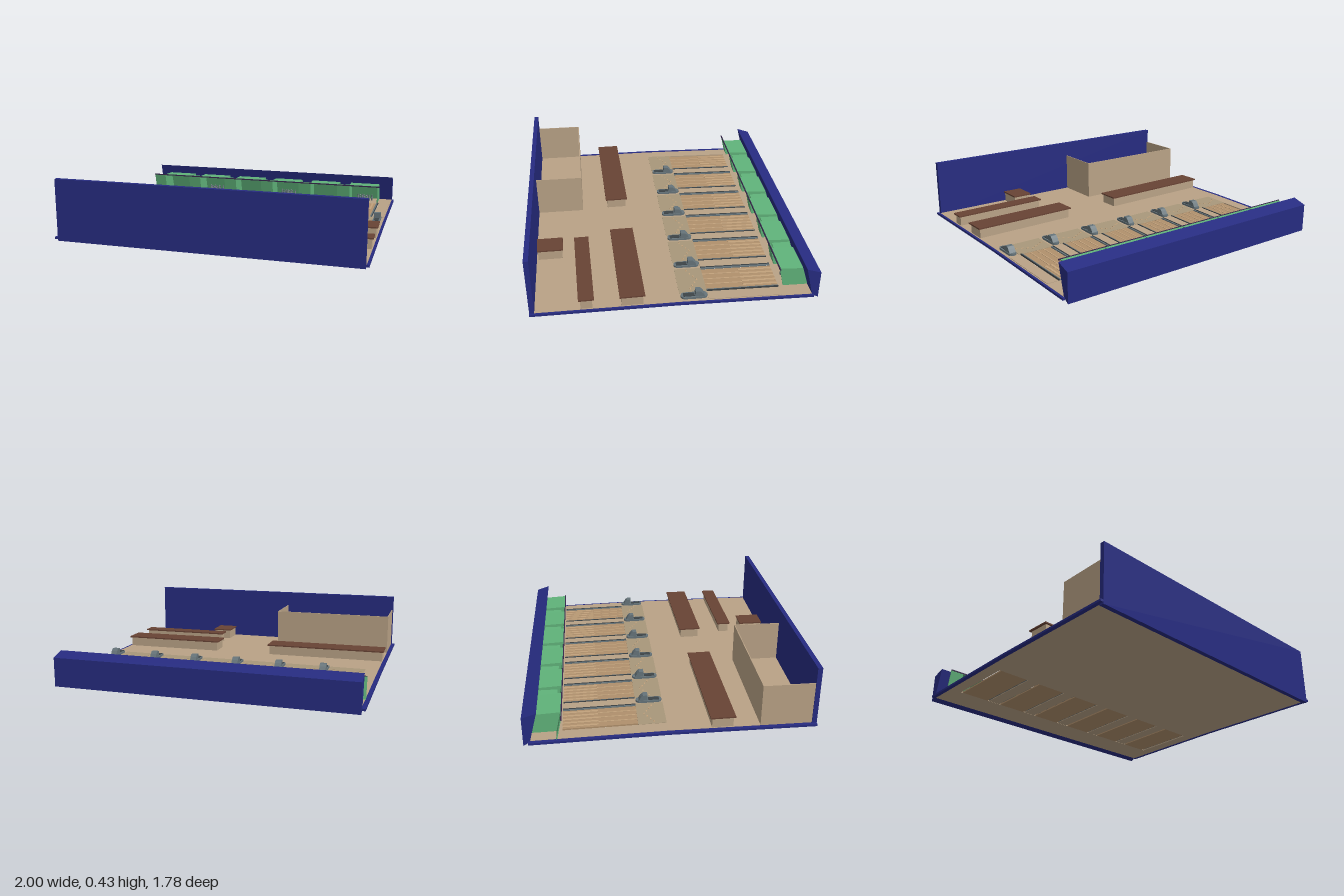
import * as THREE from 'three';

const mat = (color) => new THREE.MeshStandardMaterial({ color, side: THREE.DoubleSide, flatShading: true });
const beige = mat(0xb9a286), blue = mat(0x262b80), brown = mat(0x684334), green = mat(0x60b37a);
const grey = mat(0x66747a), dark = mat(0x3d4448), laneWood = mat(0xb0906c), plank = mat(0xc2a27c);
const approachWood = mat(0xa8977a), plum = mat(0x35264a);

// Floor height: level at the front, falling gently towards the pins
const floorY = (z) => 0.046 + Math.min(0, z + 0.02) * 0.02;

export function createModel() {
  const root = new THREE.Group();

  function add(name, geometry, material, parent = root) {
    const mesh = new THREE.Mesh(geometry, material);
    mesh.name = name;
    parent.add(mesh);
    return mesh;
  }
  function box(name, x0, x1, y0, y1, z0, z1, material, parent) {
    const m = add(name, new THREE.BoxGeometry(x1 - x0, y1 - y0, z1 - z0), material, parent);
    m.position.set((x0 + x1) / 2, (y0 + y1) / 2, (z0 + z1) / 2);
    return m;
  }
  // Thin slab that follows the floor slope
  function slab(name, x0, x1, z0, z1, material, lift = 0, thick = 0.01, parent = root) {
    const g = new THREE.BoxGeometry(x1 - x0, thick, z1 - z0);
    g.translate((x0 + x1) / 2, lift - thick / 2, (z0 + z1) / 2);
    const p = g.attributes.position;
    for (let i = 0; i < p.count; i++) p.setY(i, p.getY(i) + floorY(p.getZ(i)));
    g.computeVertexNormals();
    return add(name, g, material, parent);
  }
  // Side profile of [z, y] points, extruded from x0 to x1
  function prism(name, points, x0, x1, material, parent) {
    const shape = new THREE.Shape(points.map(([z, y]) => new THREE.Vector2(-z, y)));
    const g = new THREE.ExtrudeGeometry(shape, { depth: x1 - x0, bevelEnabled: false });
    g.rotateY(Math.PI / 2);
    g.translate(x0, 0, 0);
    return add(name, g, material, parent);
  }

  // Walls and edge trims
  box('frontWall', -0.98, 0.98, 0.02, 0.425, 0.86, 0.89, blue);
  prism('backWall', [[-0.8, 0.22], [-0.89, 0.19], [-0.89, 0], [-0.85, 0.025]], -0.98, 0.985, blue);
  for (const [x0, x1] of [[-1, -0.975], [0.985, 1]]) {
    slab('edgeTrim', x0, x1, -0.86, -0.02, blue, -0.001, 0.014);
    slab('edgeTrim', x0, x1, -0.02, 0.89, blue, -0.001, 0.014);
  }

  // Floor
  slab('loungeFloor', -0.975, 0.985, -0.02, 0.86, beige);
  slab('approachFloor', -0.975, 0.985, -0.2, -0.02, beige);
  slab('pinFloor', -0.975, 0.985, -0.86, -0.66, beige);
  slab('edgeFloor', -0.975, -0.89, -0.66, -0.2, beige);
  slab('edgeFloor', 0.9, 0.985, -0.66, -0.2, beige);

  // Ball return: low tray with a hooded end
  function ballReturn(x) {
    const g = new THREE.Group();
    g.name = 'ballReturn';
    g.position.x = x;
    root.add(g);
    const tray = new THREE.Shape();
    tray.absarc(0, 0.055, 0.026, Math.PI, Math.PI * 2, false);
    tray.absarc(0, 0.17, 0.026, 0, Math.PI, false);
    const geo = new THREE.ExtrudeGeometry(tray, { depth: 0.014, bevelEnabled: false, curveSegments: 6 });
    geo.rotateX(-Math.PI / 2);
    const t = add('tray', geo, grey, g);
    t.position.set(0, 0.044, 0);
    box('trayWell', -0.016, 0.016, 0.057, 0.061, -0.115, -0.045, dark, g);
    prism('hood', [[-0.12, 0.045], [-0.12, 0.095], [-0.15, 0.095], [-0.165, 0.08], [-0.185, 0.045]],
      -0.022, 0.022, grey, g);
  }

  // Ten pins in a triangle
  const pinGeo = new THREE.LatheGeometry([[0, 0], [0.005, 0], [0.008, 0.018], [0.004, 0.036], [0.005, 0.044], [0, 0.05]]
    .map(([r, y]) => new THREE.Vector2(r, y)), 8);
  function pins(cx) {
    for (let row = 0; row < 4; row++) {
      for (let i = 0; i <= row; i++) {
        const z = -0.705 - row * 0.024;
        add('pin', pinGeo, grey).position.set(cx + (i - row / 2) * 0.036, floorY(z), z);
      }
    }
  }

  // Leaning panel under the pin deck front
  const panel = [[-0.66, 0.165], [-0.666, 0.165], [-0.696, 0.03], [-0.69, 0.03]];
  const sideWall = [[-0.66, 0.165], [-0.81, 0.157], [-0.85, 0.03], [-0.69, 0.03]];
  prism('dividerPanel', panel, -0.98, -0.89, green);

  const pitch = 0.311;
  for (let i = 0; i < 6; i++) {
    const c = -0.775 + i * pitch;

    // Lane surface with inlaid boards
    slab('lane', c - 0.1, c + 0.1, -0.66, -0.2, laneWood);
    for (let k = 0; k < 5; k++) {
      const x = c + (k - 2) * 0.038;
      slab('board', x - 0.008, x + 0.008, -0.66, -0.44, plank, 0.002, 0.002);
    }
    for (const dx of [-0.05, 0, 0.05]) slab('board', c + dx - 0.004, c + dx + 0.004, -0.44, -0.2, plank, 0.002, 0.002);

    // Approach with chevron markers
    slab('approach', c - 0.115, c + 0.125, -0.2, -0.025, approachWood, 0.002, 0.003);
    for (let k = -3; k <= 3; k++) {
      const x = c + k * 0.03, z = -0.155 + Math.abs(k) * 0.018;
      slab('marker', x - 0.008, x + 0.008, z - 0.004, z + 0.004, plank, 0.004, 0.002);
    }

    // Gutters and the strip between lanes
    const d = c + pitch / 2;
    const half = i < 5 ? 0.042 : 0.03;
    slab('laneDivider', d - half, Math.min(d + 0.042, 0.985), -0.66, -0.2, beige, 0.003, 0.012);
    slab('gutter', d - 0.054, d - 0.04, -0.66, -0.2, grey, 0.004, 0.008);
    slab('gutterRail', d - 0.043, d - 0.038, -0.66, -0.2, dark, 0.008, 0.01);
    if (i < 5) {
      slab('gutter', d + 0.036, d + 0.05, -0.66, -0.2, grey, 0.004, 0.008);
      slab('gutterRail', d + 0.034, d + 0.039, -0.66, -0.2, dark, 0.008, 0.01);
    }
    ballReturn(-0.62 + i * pitch + (i === 5 ? 0.005 : 0));

    // Pin deck housing
    const x0 = -0.89 + i * pitch, x1 = x0 + 0.22;
    prism('deckRoof', [[-0.66, 0.165], [-0.81, 0.157], [-0.812, 0.15], [-0.662, 0.158]], x0, x1, green);
    prism('deckBack', [[-0.805, 0.157], [-0.81, 0.157], [-0.85, 0.03], [-0.845, 0.03]], x0, x1, green);
    prism('deckSide', sideWall, x0 - 0.002, x0 + 0.003, green);
    prism('deckSide', sideWall, x1 - 0.003, x1 + 0.002, green);
    if (i < 5) {
      prism('dividerPanel', panel, x1, x0 + pitch, green);
      prism('dividerBack', [[-0.69, 0.14], [-0.81, 0.14], [-0.81, 0.134], [-0.69, 0.134]], x1, x0 + pitch, green);
    }
    if (i % 2) pins(c);
  }
  box('deckRail', -0.98, 0.9, 0.16, 0.168, -0.664, -0.657, plum);

  // Benches and tables: pale base with a brown top
  function bench(name, x0, x1, z0, z1, tilt, inset = 0.012) {
    const g = new THREE.Group();
    g.name = name;
    g.position.set((x0 + x1) / 2, 0, (z0 + z1) / 2);
    g.rotation.y = tilt;
    root.add(g);
    const w = (x1 - x0) / 2, d = (z1 - z0) / 2;
    box('base', -w + inset, w - inset, 0.045, 0.111, -d + inset, d - inset, beige, g);
    box('top', -w, w, 0.111, 0.12, -d, d, brown, g);
  }
  bench('leftBench', -0.98, -0.13, 0.222, 0.378, 0.02);
  bench('rightBench', 0.26, 0.99, 0.2, 0.355, 0.02);
  bench('rearBench', 0.33, 0.99, 0.507, 0.603, 0.02);
  bench('smallTable', 0.32, 0.46, 0.685, 0.855, 0.01, 0.006);

  // Open-topped booth against the front wall
  box('boothBack', -0.97, -0.125, 0.045, 0.32, 0.54, 0.546, beige);
  box('boothSide', -0.975, -0.969, 0.045, 0.32, 0.54, 0.86, beige);
  box('boothSide', -0.131, -0.125, 0.045, 0.32, 0.54, 0.86, beige);

  return root;
}
